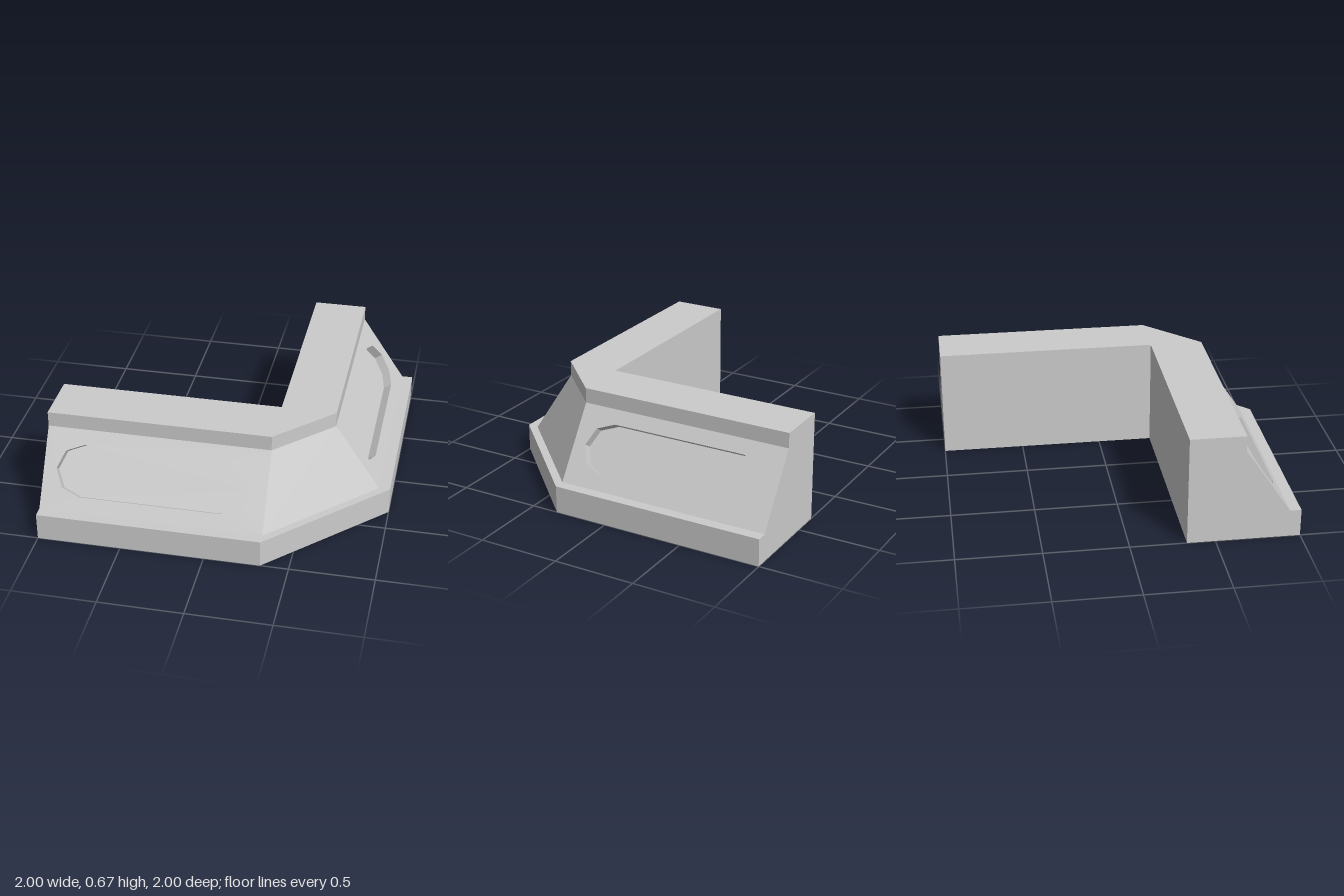
import * as THREE from 'three';

const material = new THREE.MeshStandardMaterial({ color: 0xcccccc, flatShading: true });

// Flat-shaded geometry from a list of polygons (corners counter-clockwise)
function facesGeometry(polygons) {
  const pos = [];
  for (const p of polygons) {
    for (let i = 1; i < p.length - 1; i++) {
      if (new THREE.Triangle(p[0], p[i], p[i + 1]).getArea() < 1e-7) continue;
      for (const v of [p[0], p[i], p[i + 1]]) pos.push(v.x, v.y, v.z);
    }
  }
  const g = new THREE.BufferGeometry();
  g.setAttribute('position', new THREE.Float32BufferAttribute(pos, 3));
  g.computeVertexNormals();
  return g;
}

function mesh(name, geometry) {
  const m = new THREE.Mesh(geometry, material);
  m.name = name;
  return m;
}

const C = 1 / 3; // inner corner in x and z
// Wall section: distance from the inner face, height
const profile = [
  [0, 0], [0.667, 0], [0.667, 0.167], [0.6, 0.167], [0.327, 0.575], [0.327, 0.667], [0, 0.667],
].map(([d, y]) => new THREE.Vector2(d, y));
const SLOPE = 3; // profile edge carrying the recessed panels

// Section swept along one arm, across the chamfered corner, and along the other arm
function wallGeometry() {
  const stations = [
    (p) => new THREE.Vector3(-1, p.y, C + p.x),
    (p) => new THREE.Vector3(C, p.y, C + p.x),
    (p) => new THREE.Vector3(C + p.x, p.y, C),
    (p) => new THREE.Vector3(C + p.x, p.y, -1),
  ];
  const faces = [];
  for (let s = 0; s < 3; s++) {
    const A = stations[s], B = stations[s + 1];
    profile.forEach((p, i) => {
      if (i === SLOPE && s !== 1) return; // filled by a panel
      const q = profile[(i + 1) % profile.length];
      faces.push([A(p), B(p), B(q), A(q)]);
    });
  }
  // End caps
  for (const t of THREE.ShapeUtils.triangulateShape(profile, [])) {
    faces.push(t.map((i) => stations[0](profile[i])));
    faces.push(t.map((i) => stations[3](profile[i])).reverse());
  }
  return facesGeometry(faces);
}

// Sloped panel with an elongated recess, lying in its own xy plane
function makePanel(name) {
  const group = new THREE.Group();
  group.name = name;
  const half = 2 / 3, depth = 0.055;
  const height = profile[SLOPE].distanceTo(profile[SLOPE + 1]);
  const outline = [
    [0.58, 0], [0.535, 0.108], [0.425, 0.154], [-0.425, 0.154], [-0.535, 0.108],
    [-0.58, 0], [-0.535, -0.108], [-0.425, -0.154], [0.425, -0.154], [0.535, -0.108],
  ].map(([x, y]) => new THREE.Vector2(x - 0.01, y + 0.247));

  const shape = new THREE.Shape([[-half, 0], [half, 0], [half, height], [-half, height]]
    .map(([x, y]) => new THREE.Vector2(x, y)));
  shape.holes.push(new THREE.Path(outline));
  group.add(mesh('panelFace', new THREE.ShapeGeometry(shape)));

  const at = (p, z) => new THREE.Vector3(p.x, p.y, z);
  const walls = outline.map((p, i) => {
    const q = outline[(i + 1) % outline.length];
    return [at(p, 0), at(q, 0), at(q, -depth), at(p, -depth)];
  });
  group.add(mesh('recessWalls', facesGeometry(walls)));
  group.add(mesh('recessFloor', facesGeometry([outline.map((p) => at(p, -depth))])));
  return group;
}

export function createModel() {
  const model = new THREE.Group();
  model.name = 'cornerWall';
  model.add(mesh('wallBody', wallGeometry()));

  // Panels tilted to the slope, one per arm
  const up = profile[SLOPE + 1].clone().sub(profile[SLOPE]).normalize();
  const { x: d, y } = profile[SLOPE];
  const arms = [
    ['frontPanel', [1, 0, 0], [0, up.y, up.x], [0, -up.x, up.y], [-C, y, C + d]],
    ['sidePanel', [0, 0, -1], [up.x, up.y, 0], [up.y, -up.x, 0], [C + d, y, -C]],
  ];
  for (const [name, u, v, n, origin] of arms) {
    const panel = makePanel(name);
    const basis = new THREE.Matrix4().makeBasis(
      new THREE.Vector3(...u), new THREE.Vector3(...v), new THREE.Vector3(...n));
    panel.quaternion.setFromRotationMatrix(basis);
    panel.position.set(...origin);
    model.add(panel);
  }
  return model;
}
